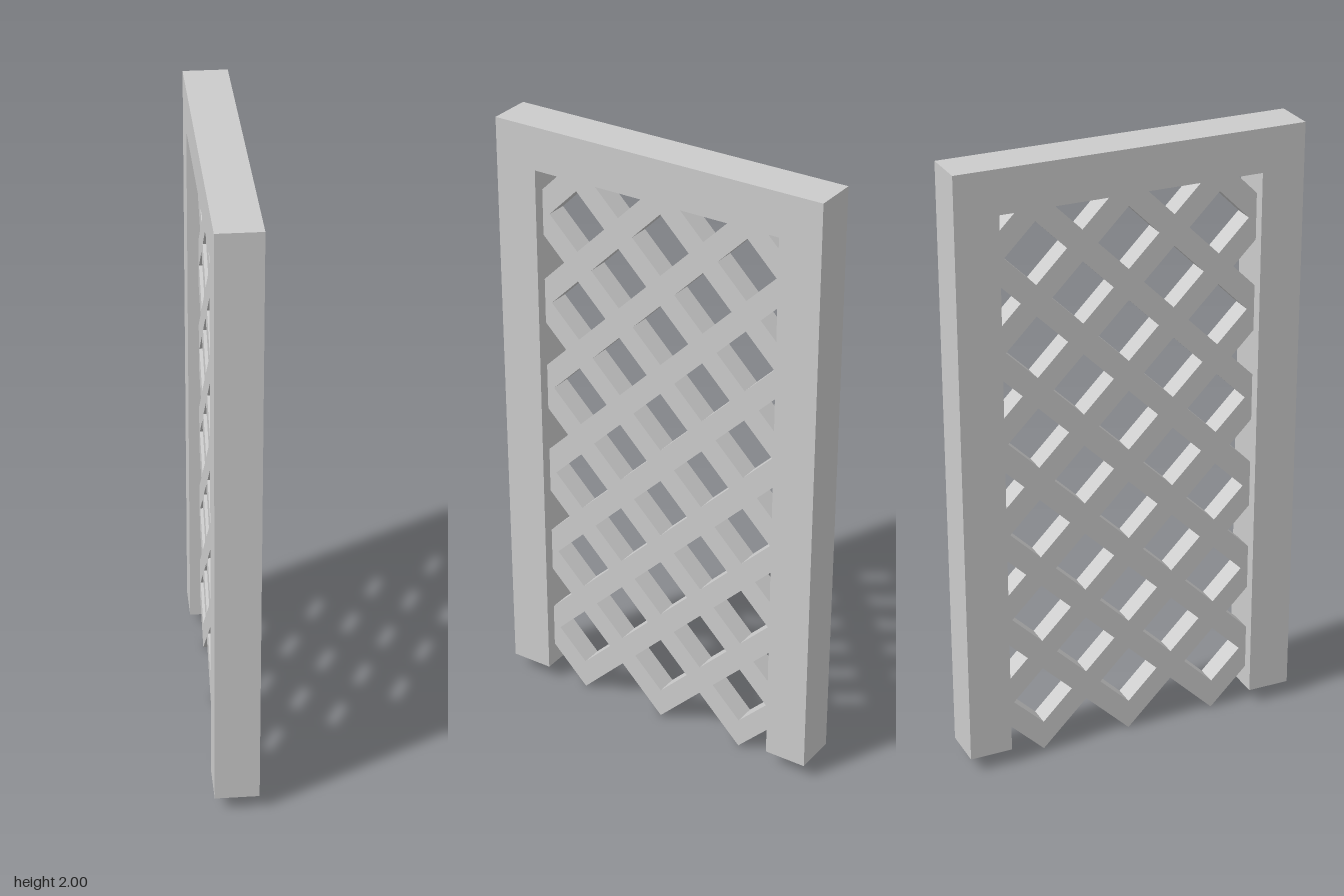
import * as THREE from 'three';

const material = new THREE.MeshStandardMaterial({ color: 0xcccccc, flatShading: true });

// Extrudes an outline drawn in (z, y) to a thickness centred on x = 0
function panel(name, shape, thickness) {
  const geometry = new THREE.ExtrudeGeometry(shape, { depth: thickness, bevelEnabled: false });
  geometry.translate(0, 0, -thickness / 2).rotateY(-Math.PI / 2);
  const mesh = new THREE.Mesh(geometry, material);
  mesh.name = name;
  return mesh;
}

const polygon = (points) => new THREE.Shape(points.map(([z, y]) => new THREE.Vector2(z, y)));

// Closes a half outline (running from bottom to top at +z) with its mirror
const mirrored = (half) => polygon([...half, ...half.map(([z, y]) => [-z, y]).reverse()]);

const INNER = 0.425, TOP = 1.86, HOLE = 0.1;

// Height of each row of diamonds; the upper section sits slightly higher
const rowY = (r) => 0.2 + 0.15 * r + (r > 5 ? 0.01 : r === 5 ? 0.005 : 0);

function latticeShape() {
  // Pointed lower edge
  const half = [[0, 0], [0.15, 0.15], [0.3, 0], [INNER, 0.125]];
  // Half diamonds cut by the posts
  for (let r = 1; r < 11; r += 2) {
    const y = rowY(r);
    half.push([INNER, y - 0.075], [0.35, y], [INNER, y + 0.075]);
  }
  // Upper edge, with half diamonds cut by the top bar
  half.push([INNER, TOP - 0.075], [0.35, TOP], [0.25, TOP], [0.15, TOP - HOLE], [0.05, TOP]);
  const mirror = half.slice(1).map(([z, y]) => [-z, y]).reverse();
  const shape = polygon([...half, ...mirror]);

  // Full diamond openings in staggered rows
  for (let r = 0; r < 11; r++) {
    for (const z of r % 2 ? [-0.15, 0.15] : [-0.3, 0, 0.3]) {
      const y = rowY(r);
      shape.holes.push(polygon([[z, y - HOLE], [z - HOLE, y], [z, y + HOLE], [z + HOLE, y]]));
    }
  }
  return shape;
}

export function createModel() {
  const group = new THREE.Group();
  group.name = 'latticeGate';

  // Two posts joined by a top bar
  const frame = mirrored([[INNER, TOP], [INNER, 0.05], [0.565, 0.05], [0.565, 2]]);
  group.add(panel('frame', frame, 0.14));

  // Diagonal slats inside the frame
  group.add(panel('lattice', latticeShape(), 0.07));
  return group;
}
